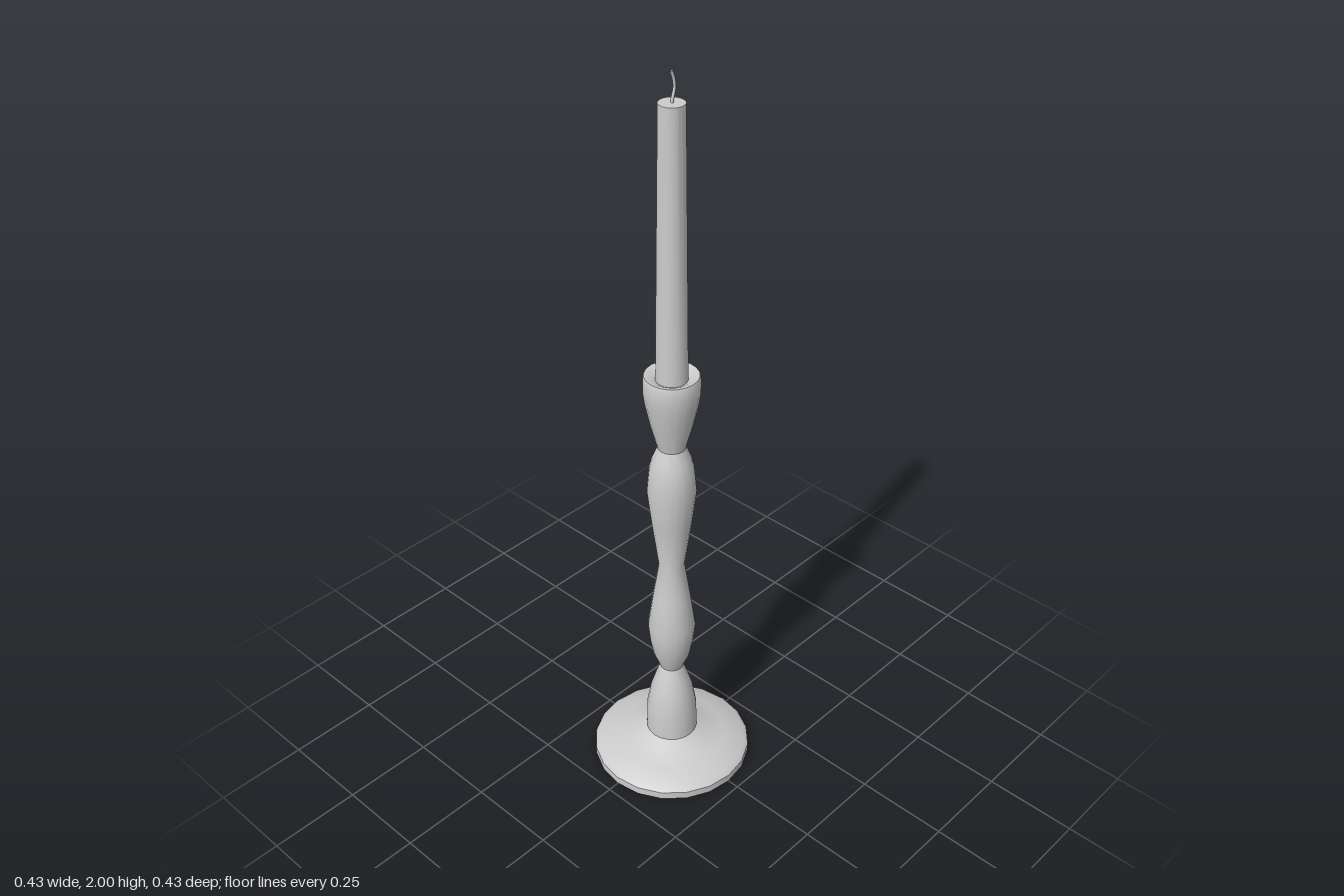
import * as THREE from 'three';
import { toCreasedNormals } from 'three/addons/utils/BufferGeometryUtils.js';

const SIDES = 20;
const material = new THREE.MeshStandardMaterial({ color: 0xcccccc, side: THREE.DoubleSide });

// Turned part from [radius, height] pairs, listed from bottom to top
function turned(name, profile) {
  const points = profile.map(([r, y]) => new THREE.Vector2(r, y));
  const geometry = toCreasedNormals(new THREE.LatheGeometry(points, SIDES), 0.56);
  const mesh = new THREE.Mesh(geometry, material);
  mesh.name = name;
  return mesh;
}

export function createModel() {
  const model = new THREE.Group();
  model.name = 'candlestick';

  // Flat foot with a stepped rim and a sloping top
  model.add(turned('base', [
    [0, 0], [0.217, 0], [0.217, 0.022], [0.205, 0.033],
    [0.15, 0.046], [0.105, 0.063], [0.07, 0.08],
  ]));

  // Stem: tapered collar, then two mirrored swellings
  model.add(turned('stem', [
    [0.07, 0.08], [0.069, 0.16], [0.057, 0.225], [0.043, 0.27], [0.031, 0.302],
    [0.05, 0.35], [0.058, 0.395], [0.064, 0.45], [0.05, 0.55], [0.034, 0.655],
    [0.052, 0.79], [0.064, 0.895], [0.058, 0.96], [0.05, 0.99], [0.036, 1.025],
  ]));

  // Flared cup with a shallow hollow around the candle
  model.add(turned('candleCup', [
    [0.036, 1.025], [0.053, 1.09], [0.067, 1.155], [0.072, 1.19],
    [0.072, 1.227], [0.069, 1.235], [0.055, 1.232], [0.038, 1.222],
  ]));

  // Tapered candle
  model.add(turned('candle', [
    [0.041, 1.2], [0.032, 1.928], [0, 1.928],
  ]));

  // Bent wick
  const path = new THREE.CatmullRomCurve3([
    new THREE.Vector3(0, 1.92, 0), new THREE.Vector3(0.002, 1.935, 0),
    new THREE.Vector3(0.009, 1.962, 0), new THREE.Vector3(0.006, 1.982, 0),
    new THREE.Vector3(-0.001, 2, 0),
  ]);
  const wick = new THREE.Mesh(new THREE.TubeGeometry(path, 10, 0.004, 6), material);
  wick.name = 'wick';
  model.add(wick);

  return model;
}
